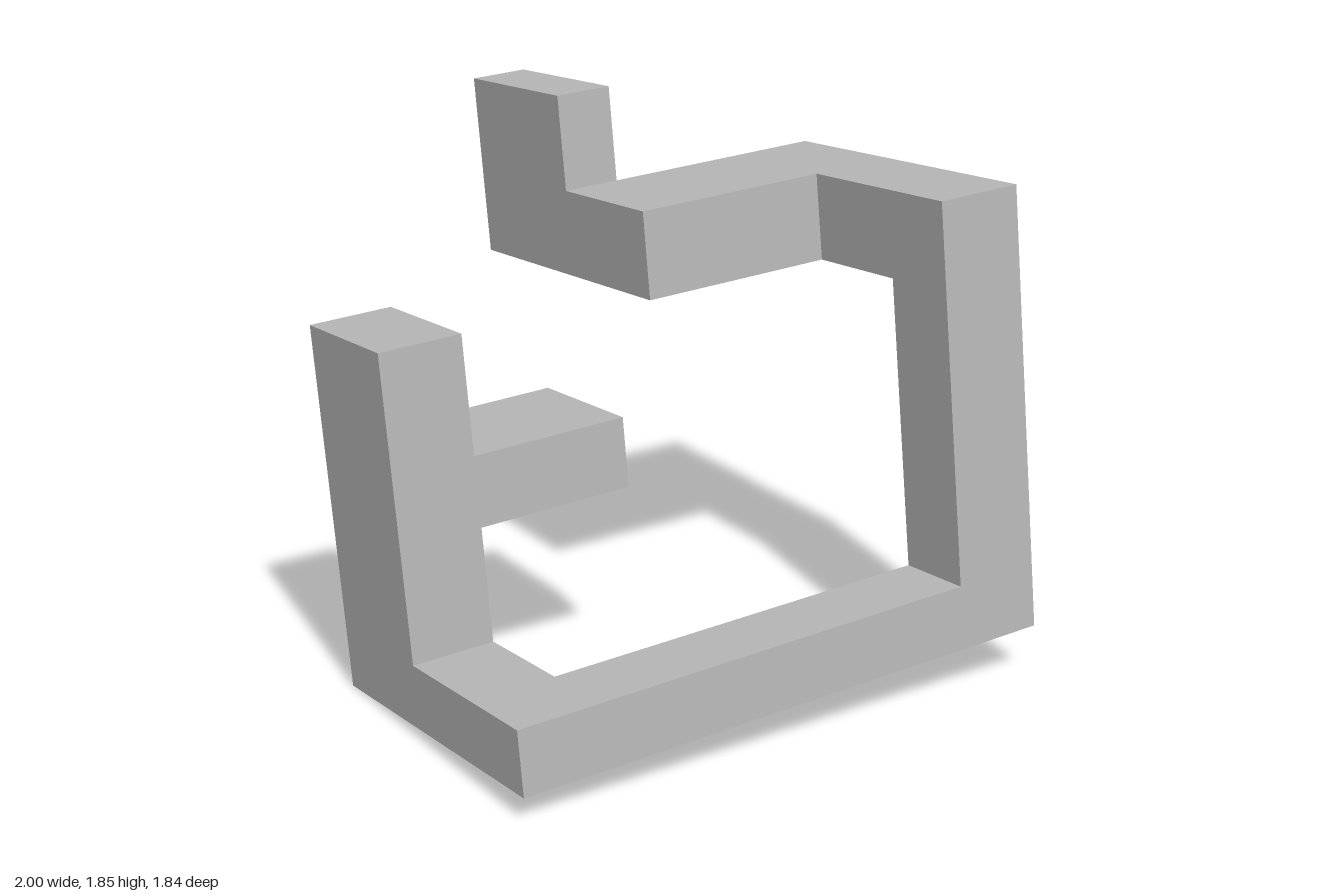
import * as THREE from 'three';

export function createModel() {
  const model = new THREE.Group();
  model.name = 'blockSculpture';
  const grey = new THREE.MeshStandardMaterial({ color: 0xb8b8b8 });
  grey.name = 'plain grey';

  // The whole frame leans slightly, so bars are laid out square and then tilted
  const frame = new THREE.Group();
  frame.name = 'tiltedFrame';
  frame.rotation.set(-0.077, 0, 0.048);
  model.add(frame);

  // Shared planes of the layout
  const left = -0.937, leftIn = -0.65, rightIn = 0.711, right = 1.008;
  const back = -0.205, middle = 0.272, frontIn = 0.656, front = 0.928;
  const floor = 0.062, floorTop = 0.279, roofBase = 1.257, roof = 1.548;

  const bar = (name, [x0, x1], [y0, y1], [z0, z1]) => {
    const mesh = new THREE.Mesh(new THREE.BoxGeometry(x1 - x0, y1 - y0, z1 - z0), grey);
    mesh.position.set((x0 + x1) / 2, (y0 + y1) / 2, (z0 + z1) / 2);
    mesh.name = name;
    frame.add(mesh);
  };

  // Right-hand post with its side branch, and the foot that runs forward
  bar('shortPost', [left, leftIn], [floor, 1.293], [back, middle]);
  bar('branch', [leftIn, -0.105], [0.662, 0.898], [back, middle]);
  bar('foot', [left, leftIn], [floor, floorTop], [middle, front]);

  // Front sill and the tall post
  bar('frontSill', [leftIn, rightIn], [floor, floorTop], [frontIn, front]);
  bar('tallPost', [rightIn, right], [floor, roof], [frontIn, front]);

  // Upper arm running back, then across, ending in an upright slab
  bar('upperArm', [rightIn, right], [roofBase, roof], [back, frontIn]);
  bar('crossArm', [0.033, rightIn], [roofBase, roof], [back, middle]);
  bar('uprightSlab', [0.033, 0.231], [roofBase, 1.867], [-0.775, back]);

  return model;
}
